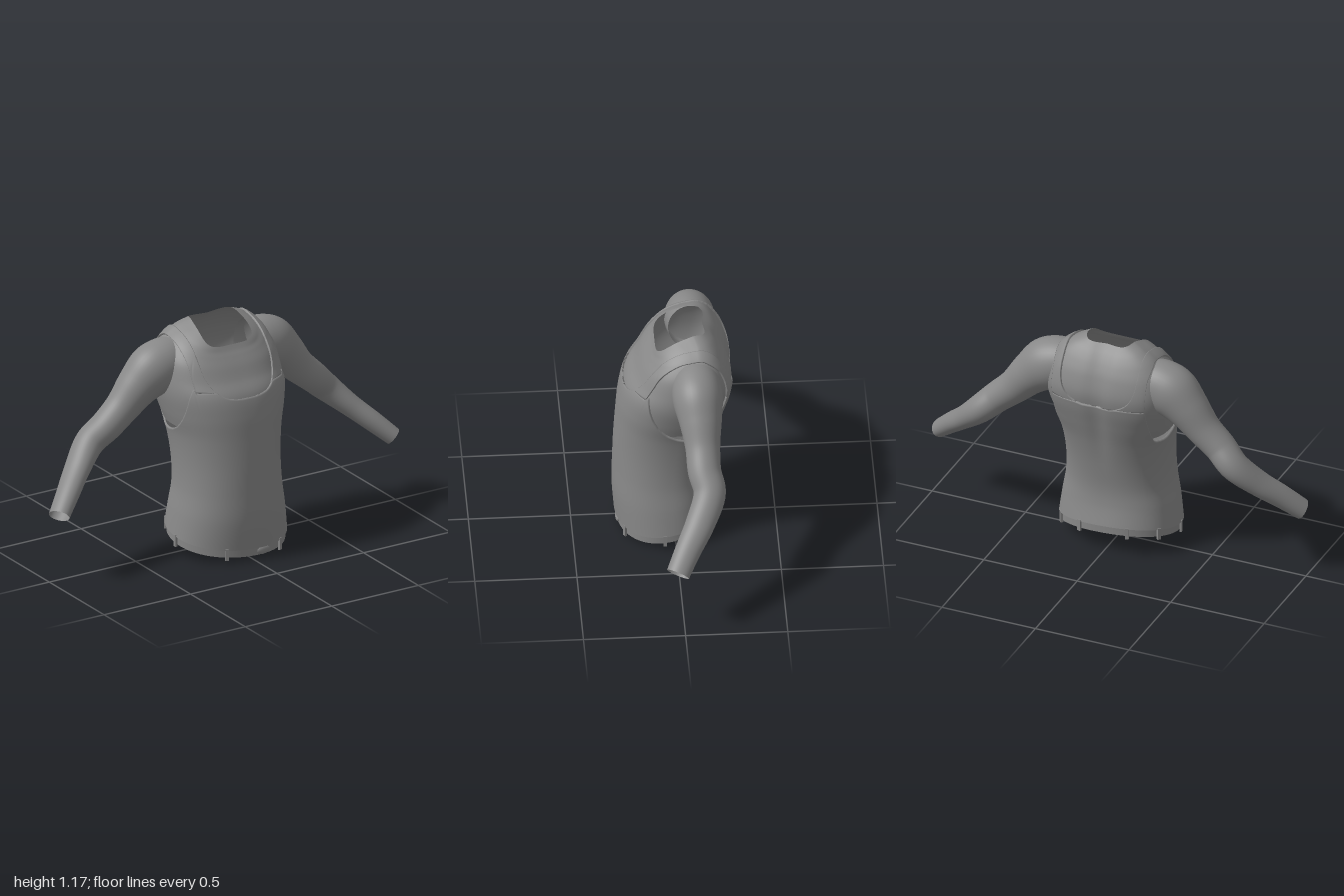
import * as THREE from 'three';
import { mergeVertices } from 'three/addons/utils/BufferGeometryUtils.js';

// Torso rings from hem to neck:
// front y,z | back y,z | side x,y,z | front and back squareness | taper
const RINGS = [
  [0.05, 0.28, 0.145, -0.2, 0.302, 0.09, 0.03, 2.1, 2.2, 0],
  [0.2, 0.29, 0.25, -0.176, 0.285, 0.21, 0.03, 2.1, 2.3, 0],
  [0.34, 0.287, 0.35, -0.172, 0.264, 0.34, 0.03, 2.1, 2.3, 0],
  [0.48, 0.282, 0.48, -0.19, 0.26, 0.48, 0.02, 2.1, 2.3, 0],
  [0.62, 0.272, 0.62, -0.22, 0.272, 0.62, 0, 2.2, 2.4, 0],
  [0.74, 0.26, 0.74, -0.252, 0.3, 0.73, -0.03, 2.3, 2.6, 0],
  [0.84, 0.235, 0.84, -0.276, 0.32, 0.83, -0.06, 2.4, 2.8, 0],
  [0.91, 0.187, 0.92, -0.283, 0.32, 0.92, -0.09, 2.5, 2.8, 0],
  [0.97, 0.152, 1.0, -0.262, 0.3, 1.01, -0.1, 2.6, 2.8, 0],
  [1.01, 0.124, 1.06, -0.232, 0.25, 1.082, -0.1, 2.8, 2.8, 0],
  [1.035, 0.105, 1.11, -0.195, 0.19, 1.125, -0.09, 3.4, 3.4, 0.05],
  [1.06, 0.09, 1.147, -0.155, 0.13, 1.15, -0.06, 5, 5, 0.12],
];

// Arm sections: centre x,y,z | radius in the arm's plane | radius in depth
const ARM = [
  [0.2, 0.97, -0.1, 0.115, 0.11],
  [0.28, 0.955, -0.1, 0.13, 0.122],
  [0.345, 0.925, -0.103, 0.132, 0.122],
  [0.42, 0.862, -0.11, 0.107, 0.105],
  [0.505, 0.77, -0.115, 0.086, 0.086],
  [0.595, 0.69, -0.118, 0.077, 0.082],
  [0.68, 0.612, -0.138, 0.07, 0.079],
  [0.785, 0.512, -0.085, 0.056, 0.072],
  [0.88, 0.425, -0.02, 0.051, 0.064],
  [0.965, 0.345, 0.035, 0.045, 0.058],
];

// Smooth interpolation through table rows, t from 0 to 1
function sample(rows, t) {
  const last = rows.length - 1;
  const p = THREE.MathUtils.clamp(t, 0, 1) * last;
  const i = Math.min(Math.floor(p), last - 1), f = p - i;
  const row = (k) => rows[THREE.MathUtils.clamp(k, 0, last)];
  const [a, b, c, d] = [row(i - 1), row(i), row(i + 1), row(i + 2)];
  return b.map((_, k) => b[k] + 0.5 * f * (c[k] - a[k]
    + f * (2 * a[k] - 5 * b[k] + 4 * c[k] - d[k] + f * (3 * (b[k] - c[k]) + d[k] - a[k]))));
}

// Smooth surface from f(column, row)
function grid(cols, rows, f) {
  const pos = [], idx = [], w = cols + 1;
  for (let j = 0; j <= rows; j++)
    for (let i = 0; i <= cols; i++) pos.push(...f(i, j).toArray());
  for (let j = 0; j < rows; j++)
    for (let i = 0; i < cols; i++) {
      const a = j * w + i;
      idx.push(a, a + 1, a + w, a + 1, a + w + 1, a + w);
    }
  let g = new THREE.BufferGeometry();
  g.setAttribute('position', new THREE.Float32BufferAttribute(pos, 3));
  g.setIndex(idx);
  g = mergeVertices(g, 1e-5);
  g.computeVertexNormals();
  return g;
}

// Point on the torso: angle 0 faces front, v runs from hem to neck
function torso(angle, v) {
  const [yf, zf, yb, zb, xs, ys, zs, nf, nb, taper] = sample(RINGS, v);
  const s = Math.sin(angle), c = Math.cos(angle), n = c > 0 ? nf : nb;
  const k = Math.sign(c) * Math.abs(c) ** (2 / n);
  const x = xs * Math.sign(s) * Math.abs(s) ** (2 / n) * (1 + taper * k);
  let y = ys + (yf - yb) / 2 * k + ((yf + yb) / 2 - ys) * k * k;
  let z = zs + k * (k > 0 ? zf - zs : zs - zb);
  // groove along the spine, and a hip tilt that fades upward
  if (k < 0) z += 0.012 * Math.exp(-((x / 0.05) ** 2)) * THREE.MathUtils.smoothstep(y, 0.4, 0.8);
  y -= 0.06 * x * (1 - THREE.MathUtils.smoothstep(y, 0, 0.5));
  return new THREE.Vector3(x, y, z);
}

// Torso point pushed out along the surface normal
function raised(angle, v, out) {
  const e = 0.02, vv = THREE.MathUtils.clamp(v, e, 1 - e);
  const du = torso(angle + e, vv).sub(torso(angle - e, vv));
  const dv = torso(angle, vv + e).sub(torso(angle, vv - e));
  return torso(angle, v).addScaledVector(du.cross(dv).normalize(), out);
}

const inNeckline = (p) => {
  const d = Math.abs(p.x) / 0.2;
  return d < 1 && p.y > (p.z > 0 ? 0.83 : 0.86) + 0.2 * (1 - Math.cbrt(1 - d ** 3));
};
const inArmhole = (p) => Math.abs(p.x) > 0.245
  && ((p.z + 0.065) / 0.195) ** 2 + ((p.y - 0.87) / 0.235) ** 2 < 1;

// Where the cloth of one column is cut by the armhole and the neckline
function cuts(angle) {
  let low = null, high = null, middle = null, top = 1;
  for (let i = 0; i <= 500; i++) {
    const v = i / 500, p = torso(angle, v);
    if (inNeckline(p)) { top = v; break; }
    if (inArmhole(p)) { low ??= v; high = v; }
    if (p.y > 0.87) middle ??= v;
  }
  middle ??= top;
  return { low: low ?? middle, high: high ?? middle, top };
}

export function createModel() {
  const model = new THREE.Group();
  const grey = new THREE.MeshStandardMaterial({ color: 0x888888, side: THREE.DoubleSide });
  grey.name = 'grey';
  const add = (name, geometry, parent = model) => {
    const mesh = new THREE.Mesh(geometry, grey);
    mesh.name = name;
    parent.add(mesh);
    return mesh;
  };
  const TAU = Math.PI * 2;

  // Skin of chest, back and shoulders, open at the neck
  add('upperBody', grid(120, 50, (i, j) => torso((i % 120) / 120 * TAU, 0.4 + 0.6 * j / 50)));

  // Sleeveless shirt: body below the armholes, straps above, edges turned in
  const cols = 216;
  const cut = Array.from({ length: cols }, (_, i) => cuts(i / cols * TAU));
  const cloth = 0.009;
  const shirt = new THREE.Group();
  shirt.name = 'shirt';
  model.add(shirt);
  add('shirtBody', grid(cols, 61, (i, j) => {
    const k = i % cols;
    return raised(k / cols * TAU, cut[k].low * Math.min(j / 60, 1), j > 60 ? 0 : cloth);
  }), shirt);
  add('shirtStraps', grid(cols, 22, (i, j) => {
    const k = i % cols, { high, top } = cut[k];
    const t = THREE.MathUtils.clamp((j - 1) / 20, 0, 1);
    return raised(k / cols * TAU, high + (top - high) * t, j === 0 || j === 22 ? 0 : cloth);
  }), shirt);

  // Arms, open at the wrists
  for (const side of [1, -1]) {
    add(side > 0 ? 'leftArm' : 'rightArm', grid(40, 64, (i, j) => {
      const t = j / 64, a = side * (i % 40) / 40 * TAU;
      const [x, y, z, ru, rd] = sample(ARM, t);
      const ahead = new THREE.Vector3(...sample(ARM, t + 0.01));
      const tangent = ahead.sub(new THREE.Vector3(...sample(ARM, t - 0.01))).normalize();
      const up = new THREE.Vector3(0, 0, 1).cross(tangent).normalize();
      const depth = tangent.clone().cross(up);
      const p = new THREE.Vector3(x, y, z)
        .addScaledVector(up, ru * Math.cos(a)).addScaledVector(depth, rd * Math.sin(a));
      p.x *= side;
      return p;
    }));
  }

  // Belt under the hem, with loops and a buckle
  const belt = new THREE.Group();
  belt.name = 'belt';
  model.add(belt);
  add('beltBand', grid(96, 2, (i, j) => {
    const p = torso((i % 96) / 96 * TAU, 0);
    p.y += -0.04 + 0.03 * j;
    return p;
  }), belt);
  for (const angle of [-0.45, 0.6, -1.48, 1.48, -2.15, 2.15, -2.75, 2.75]) {
    const loop = add('beltLoop', new THREE.BoxGeometry(0.018, 0.062, 0.012), belt);
    loop.position.copy(raised(angle, 0, 0.006));
    loop.position.y -= 0.022;
    const out = raised(angle, 0, 1).sub(torso(angle, 0));
    loop.rotation.y = Math.atan2(out.x, out.z);
  }
  const buckle = add('beltBuckle', new THREE.SphereGeometry(1, 20, 12), belt);
  buckle.scale.set(0.04, 0.022, 0.012);
  buckle.position.set(0.06, 0.027, 0.274);

  return model;
}
